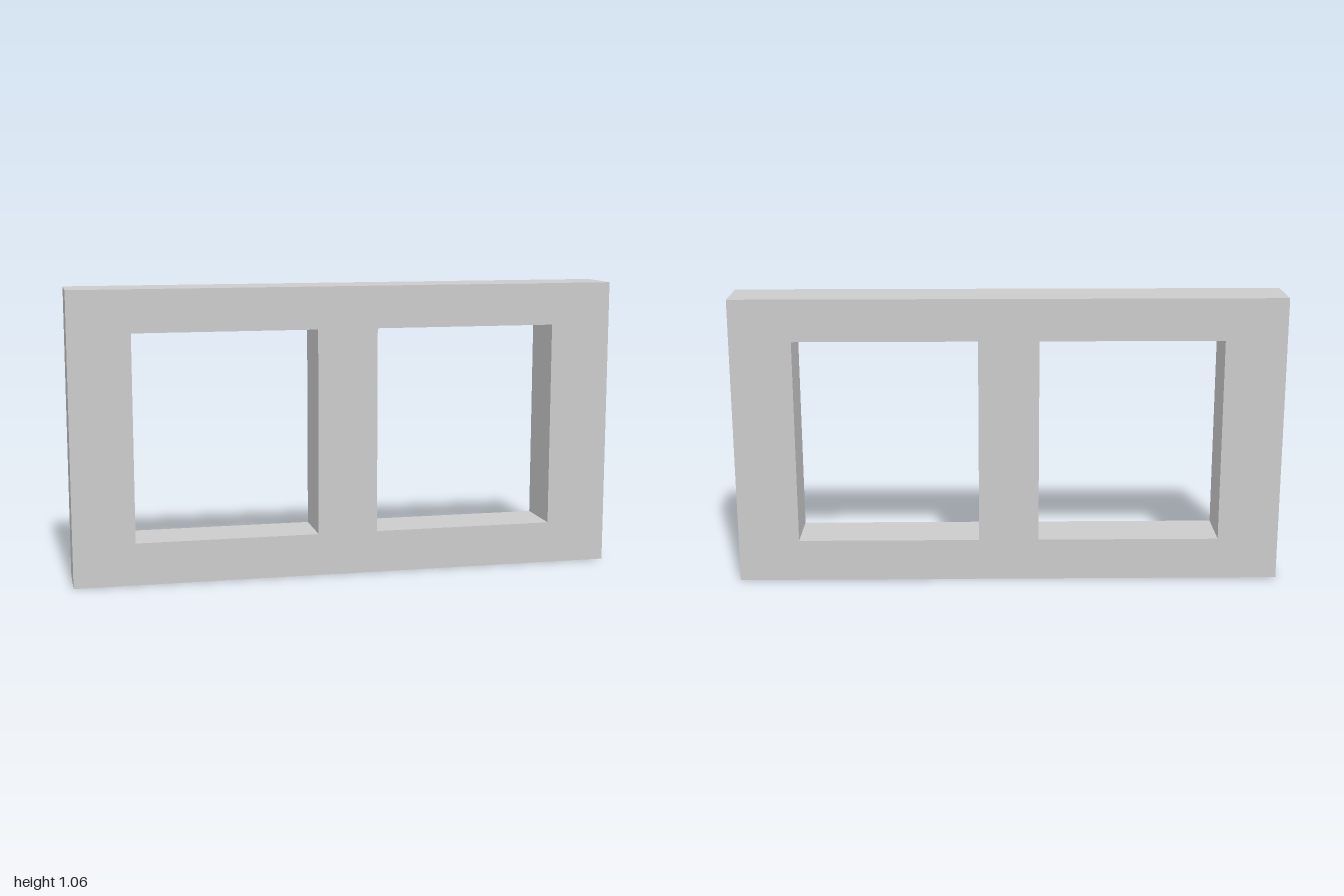
import * as THREE from 'three';

const WIDTH = 2, HEIGHT = 1.06, DEPTH = 0.204;
const HOLE_INNER = 0.11, HOLE_OUTER = 0.777, HOLE_BOTTOM = 0.154, HOLE_TOP = 0.906;

// Traces a rectangle into a Shape or Path
function rect(path, x0, y0, x1, y1) {
  path.moveTo(x0, y0);
  path.lineTo(x1, y0);
  path.lineTo(x1, y1);
  path.lineTo(x0, y1);
  path.closePath();
  return path;
}

export function createModel() {
  const group = new THREE.Group();
  group.name = 'doubleWindowFrame';

  // Slab outline with one opening on each side of the central post
  const outline = rect(new THREE.Shape(), -WIDTH / 2, 0, WIDTH / 2, HEIGHT);
  for (const side of [-1, 1]) {
    outline.holes.push(
      rect(new THREE.Path(), side * HOLE_INNER, HOLE_BOTTOM, side * HOLE_OUTER, HOLE_TOP)
    );
  }

  const geometry = new THREE.ExtrudeGeometry(outline, { depth: DEPTH, bevelEnabled: false });
  geometry.translate(0, 0, -DEPTH / 2);

  const frame = new THREE.Mesh(
    geometry,
    new THREE.MeshStandardMaterial({ color: 0xcccccc, flatShading: true })
  );
  frame.name = 'frame';
  group.add(frame);
  return group;
}
